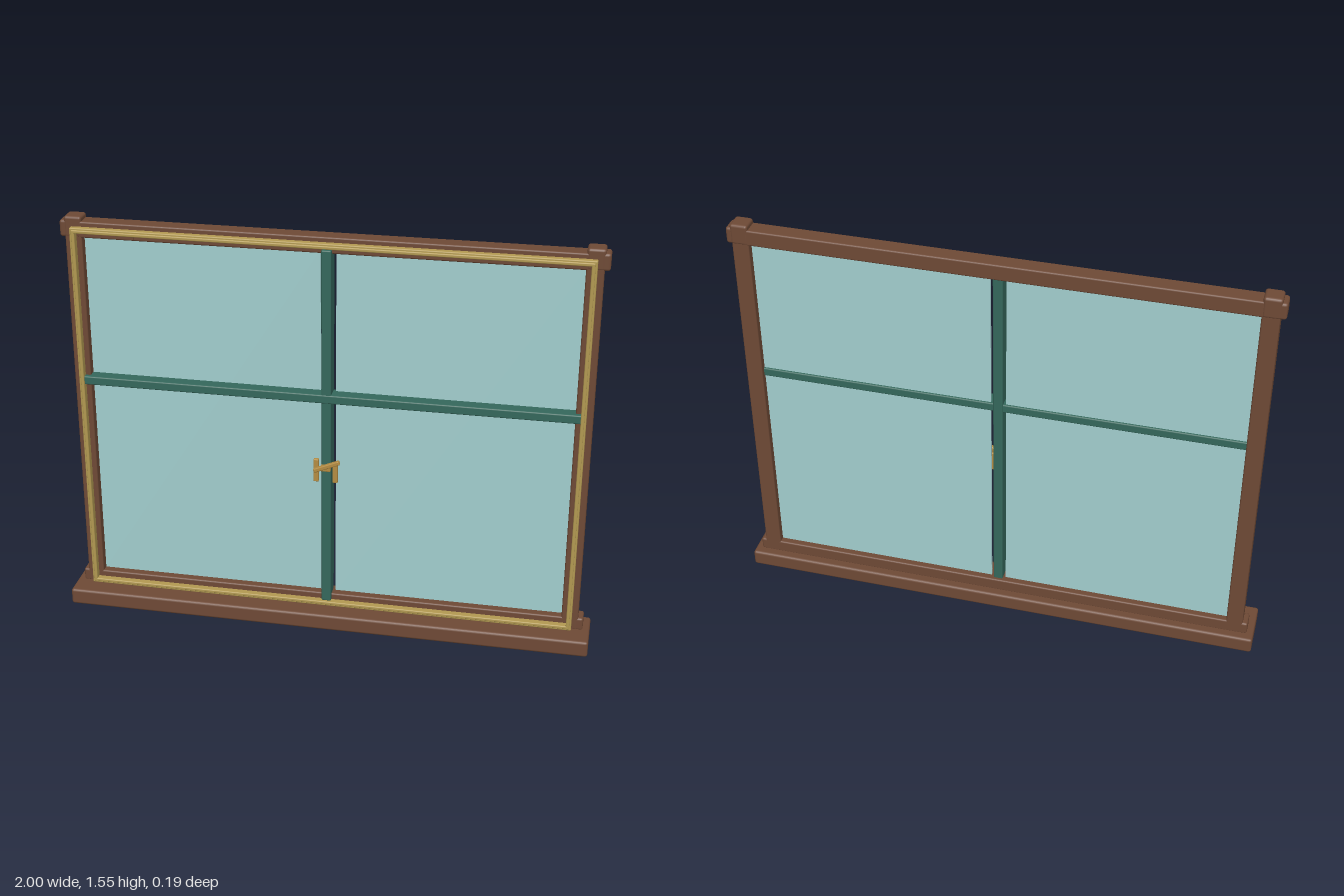
import * as THREE from 'three';
import { RoundedBoxGeometry } from 'three/addons/geometries/RoundedBoxGeometry.js';

const wood = new THREE.MeshStandardMaterial({ color: 0x6f4a36 });
const brass = new THREE.MeshStandardMaterial({ color: 0xb39a52 });
const handleBrass = new THREE.MeshStandardMaterial({ color: 0xb58d42 });
const green = new THREE.MeshStandardMaterial({ color: 0x35685c });
const glass = new THREE.MeshStandardMaterial({ color: 0xa3cfcf });

// Softly rounded bar given by its extents on each axis
function bar(parent, name, material, [x0, x1], [y0, y1], [z0, z1], radius = 0.006) {
  const size = [x1 - x0, y1 - y0, z1 - z0];
  const r = Math.min(radius, Math.min(...size) * 0.45);
  const geometry = r > 0 ? new RoundedBoxGeometry(...size, 2, r) : new THREE.BoxGeometry(...size);
  const mesh = new THREE.Mesh(geometry, material);
  mesh.name = name;
  mesh.position.set((x0 + x1) / 2, (y0 + y1) / 2, (z0 + z1) / 2);
  parent.add(mesh);
  return mesh;
}

// Extents mirrored to the given side
const mirror = (side, a, b) => (side > 0 ? [a, b] : [-b, -a]);

export function createModel() {
  const model = new THREE.Group();
  model.name = 'window';
  const frameZ = [-0.06, 0.005];

  // Sill and outer frame
  bar(model, 'sill', wood, [-1, 1], [0, 0.064], [-0.095, 0.095], 0.01);
  bar(model, 'topRail', wood, [-0.95, 0.95], [1.474, 1.534], frameZ);
  bar(model, 'bottomRail', wood, [-0.95, 0.95], [0.06, 0.11], frameZ);

  for (const side of [1, -1]) {
    const label = side > 0 ? 'left' : 'right';
    bar(model, label + 'Stile', wood, mirror(side, 0.893, 0.955), [0.06, 1.53], frameZ);

    // Corner blocks
    bar(model, label + 'CornerCap', wood, mirror(side, 0.893, 0.958), [1.474, 1.552], [-0.062, 0.006], 0.01);
    bar(model, label + 'CornerEar', wood, mirror(side, 0.91, 0.975), [1.474, 1.537], [-0.06, 0.005], 0.01);
    bar(model, label + 'FootBlock', wood, mirror(side, 0.93, 0.974), [0.06, 0.11], frameZ, 0.008);

    // Glass panes leave a narrow gap beside the mullion
    bar(model, label + 'Pane', glass, mirror(side, 0.028, 0.9), [0.1, 1.48], [-0.034, -0.026], 0);

    // Small clips under the top trim
    bar(model, label + 'Clip', wood, mirror(side, 0.7, 0.707), [1.48, 1.5], [0, 0.01], 0);
  }

  // Brass trim, a raised outer strip with a lower inner lip
  const trim = new THREE.Group();
  trim.name = 'brassTrim';
  model.add(trim);
  const ring = (name, outX, low, high, width, z) => {
    for (const side of [1, -1]) {
      bar(trim, name + 'Side', brass, mirror(side, outX - width, outX), [low, high], z, 0.004);
    }
    bar(trim, name + 'Top', brass, [-outX, outX], [high - width, high], z, 0.004);
    bar(trim, name + 'Bottom', brass, [-outX, outX], [low, low + width], z, 0.004);
  };
  ring('outerTrim', 0.932, 0.066, 1.516, 0.012, [0, 0.026]);
  ring('innerTrim', 0.925, 0.073, 1.509, 0.013, [0, 0.03]);

  // Glazing bars
  bar(model, 'mullion', green, [-0.018, 0.018], [0.085, 1.49], [-0.046, 0.02], 0.005);
  bar(model, 'transom', green, [-0.918, 0.918], [0.91, 0.943], [-0.042, 0.022], 0.005);

  // Latch with two plates and a slanted lever
  const latch = new THREE.Group();
  latch.name = 'latch';
  model.add(latch);
  bar(latch, 'latchPlate', handleBrass, [-0.046, -0.027], [0.596, 0.686], [0.012, 0.028], 0.003);
  bar(latch, 'latchKeeper', handleBrass, [0.025, 0.044], [0.596, 0.672], [0.012, 0.028], 0.003);
  const lever = bar(latch, 'latchLever', handleBrass, [-0.052, 0.052], [0.657, 0.673], [0.026, 0.043], 0.004);
  lever.position.x = 0.005;
  lever.rotation.z = 0.4;
  bar(latch, 'latchPivot', handleBrass, [-0.018, 0.018], [0.64, 0.665], [0.015, 0.03], 0.003);

  return model;
}
